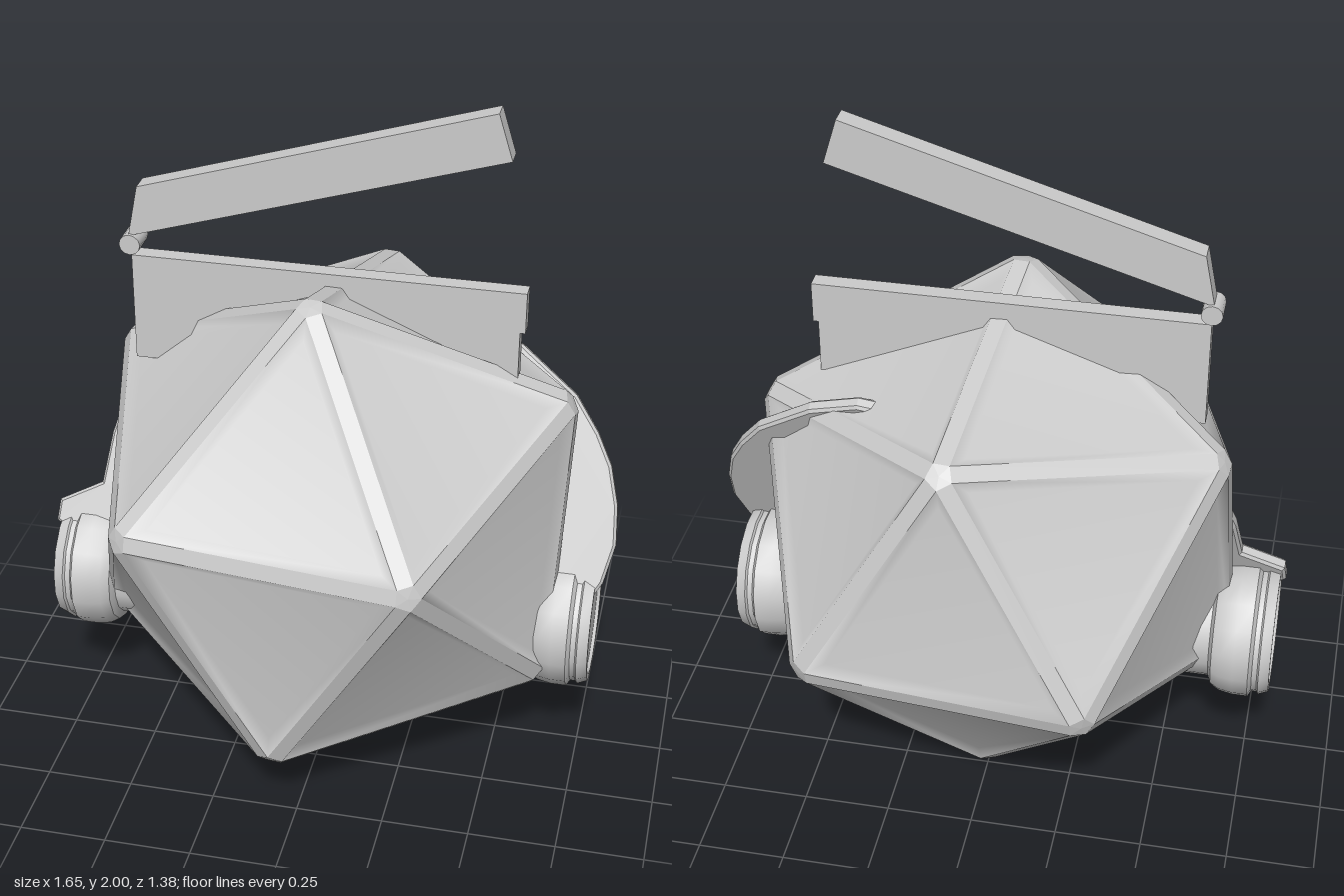
import * as THREE from 'three';
import { toCreasedNormals, mergeVertices } from 'three/addons/utils/BufferGeometryUtils.js';

const material = new THREE.MeshStandardMaterial({ color: 0xcccccc });
const V = (x, y, z) => new THREE.Vector3(x, y, z);

function part(name, geometry) {
  const mesh = new THREE.Mesh(geometry, material);
  mesh.name = name;
  return mesh;
}

// Twelve corners of a tilted icosahedron: two poles and two rings of five
function icosahedronCorners(R) {
  const u = V(-0.02, 0.955, 0.292).normalize();
  const e1 = V(-0.667, -0.224, 0.717).projectOnPlane(u).normalize();
  const e2 = u.clone().cross(e1);
  const corners = [u.clone().multiplyScalar(R)];
  for (let k = 0; k < 5; k++) {
    const a = (k * 2 * Math.PI) / 5;
    corners.push(u.clone().multiplyScalar(0.5)
      .addScaledVector(e1, Math.cos(a)).addScaledVector(e2, Math.sin(a)).setLength(R));
  }
  return corners.concat(corners.map((c) => c.clone().negate()));
}

// Collects triangles, turning each one to face away from the origin
function triangleSoup() {
  const data = [];
  return {
    add(a, b, c) {
      const n = b.clone().sub(a).cross(c.clone().sub(a));
      const out = n.dot(a.clone().add(b).add(c)) > 0;
      for (const p of out ? [a, b, c] : [a, c, b]) data.push(p.x, p.y, p.z);
    },
    build() {
      const g = new THREE.BufferGeometry();
      g.setAttribute('position', new THREE.Float32BufferAttribute(data, 3));
      g.computeVertexNormals();
      return g;
    },
  };
}

// Head: shallow recessed triangular panels between flat edge strips and corner caps
function createHead() {
  const head = new THREE.Group();
  head.name = 'head';
  const R = 0.802, corners = icosahedronCorners(R), faces = [];
  const near = (i, j) => corners[i].distanceTo(corners[j]) < R * 1.1;
  for (let i = 0; i < 12; i++) for (let j = i + 1; j < 12; j++) for (let k = j + 1; k < 12; k++) {
    if (!near(i, j) || !near(j, k) || !near(i, k)) continue;
    const centre = corners[i].clone().add(corners[j]).add(corners[k]).divideScalar(3);
    const rim = {};
    for (const c of [i, j, k]) rim[c] = centre.clone().lerp(corners[c], 0.9);
    faces.push({ ids: [i, j, k], rim, centre });
  }

  // Panels
  for (const { ids, rim, centre } of faces) {
    const soup = triangleSoup();
    const outer = ids.map((c) => rim[c]);
    const inner = outer.map((p) => centre.clone().lerp(p, 0.86)
      .addScaledVector(centre.clone().normalize(), -0.02));
    soup.add(...inner);
    for (let i = 0; i < 3; i++) {
      const j = (i + 1) % 3;
      soup.add(outer[i], outer[j], inner[j]);
      soup.add(outer[i], inner[j], inner[i]);
    }
    const smooth = soup.build();
    smooth.deleteAttribute('normal');
    const geometry = mergeVertices(smooth);
    geometry.computeVertexNormals();
    head.add(part('panel', geometry));
  }

  // Edge strips and corner caps
  const frame = triangleSoup();
  faces.forEach((f, n) => faces.slice(n + 1).forEach((g) => {
    const shared = f.ids.filter((c) => g.ids.includes(c));
    if (shared.length !== 2) return;
    const [a, b] = shared;
    frame.add(f.rim[a], f.rim[b], g.rim[b]);
    frame.add(f.rim[a], g.rim[b], g.rim[a]);
    for (const c of shared) {
      frame.add(f.rim[c], g.rim[c], corners[c].clone().setLength(R * 0.966));
    }
  }));
  head.add(part('edgeFrame', frame.build()));
  head.position.y = 0.75;
  return head;
}

// Round ear pod, turned about the x axis
function createEarPod(side) {
  const profile = [
    [0, 0.46], [0.16, 0.46], [0.16, 0.615], [0.185, 0.625], [0.2, 0.65], [0.207, 0.69],
    [0.207, 0.735], [0.19, 0.745], [0.19, 0.76], [0.197, 0.765], [0.185, 0.795],
    [0.168, 0.795], [0.163, 0.785], [0, 0.785],
  ].map(([r, h]) => new THREE.Vector2(r, h));
  const geometry = toCreasedNormals(new THREE.LatheGeometry(profile, 16), 0.6);
  geometry.rotateY(Math.PI / 16);
  geometry.rotateZ((-side * Math.PI) / 2);
  const pod = part(side > 0 ? 'leftEarPod' : 'rightEarPod', geometry);
  pod.position.set(-0.018, 0.45, 0);
  return pod;
}

// Flat headband plate, tilted back, showing only at the sides
function createHeadband() {
  const outline = [
    [0.62, 0.5], [0.74, 0.54], [0.79, 0.62], [0.815, 0.72], [0.808, 0.82], [0.78, 0.92],
    [0.735, 1.0], [0.665, 1.09], [0.5, 1.205], [0.36, 1.25], [0.1, 1.2], [-0.3, 1.15],
    [-0.52, 1.1], [-0.625, 1.02], [-0.67, 0.86], [-0.69, 0.72], [-0.815, 0.66],
    [-0.82, 0.61], [-0.7, 0.55], [-0.6, 0.5],
  ].map(([x, y]) => new THREE.Vector2(x, (y - 0.75) / 0.911));
  const geometry = new THREE.ExtrudeGeometry(new THREE.Shape(outline), {
    depth: 0.024, bevelEnabled: true, bevelSize: 0.008, bevelThickness: 0.008, bevelSegments: 1,
  });
  geometry.translate(0, 0, -0.012);
  const band = part('headband', geometry);
  band.rotation.x = -0.425;
  band.position.y = 0.75;
  return band;
}

// Upright plate given by its front outline, centred on z = 0
function createPlate(name, points, depth) {
  const shape = new THREE.Shape(points.map(([x, y]) => new THREE.Vector2(x, y)));
  const geometry = new THREE.ExtrudeGeometry(shape, { depth, bevelEnabled: false });
  geometry.translate(0, 0, -depth / 2);
  return part(name, geometry);
}

export function createModel() {
  const model = new THREE.Group();
  model.name = 'model';
  model.add(createHead(), createEarPod(1), createEarPod(-1), createHeadband());

  // Crest with a raised bar hinged at one end
  model.add(createPlate('crest',
    [[-0.57, 1.17], [0.52, 1.17], [0.52, 1.37], [0.535, 1.37], [0.535, 1.49], [-0.57, 1.49]], 0.05));
  model.add(createPlate('raisedBar',
    [[-0.575, 1.55], [0.48, 1.87], [0.44, 2.0], [-0.545, 1.7]], 0.06));
  const hinge = part('hinge',
    toCreasedNormals(new THREE.CylinderGeometry(0.03, 0.03, 0.08, 12).rotateX(Math.PI / 2), 0.7));
  hinge.position.set(-0.57, 1.527, 0);
  model.add(hinge);
  return model;
}
